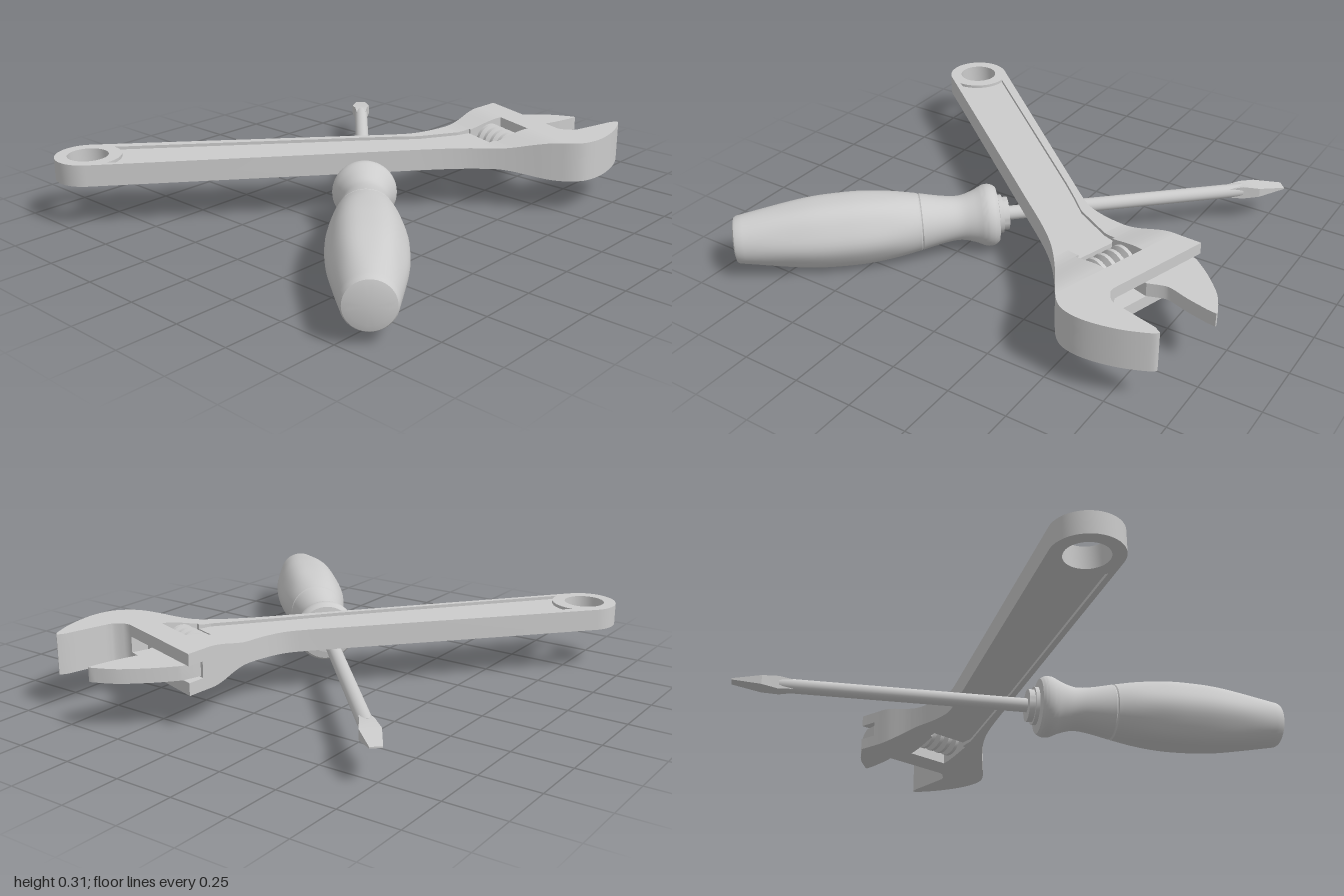
import * as THREE from 'three';
import { mergeGeometries, toCreasedNormals } from 'three/addons/utils/BufferGeometryUtils.js';

const material = new THREE.MeshStandardMaterial({ color: 0xcccccc });

// Wrench head frame: V points out of the mouth, W runs along the jaw slide
const V = ([x, z]) => 0.3 * x - 0.954 * z;
const W = ([x, z]) => 0.954 * x + 0.3 * z;
const fromWV = (w, v) => [0.954 * w + 0.3 * v, 0.3 * w - 0.954 * v];

const curve = (pts, n) =>
  new THREE.SplineCurve(pts.map(p => new THREE.Vector2(...p))).getPoints(n).map(p => [p.x, p.y]);

const arc = (cx, cz, r, a0, a1, n) => Array.from({ length: n + 1 }, (_, i) => {
  const a = THREE.MathUtils.degToRad(a0 + (a1 - a0) * i / n);
  return [cx + r * Math.cos(a), cz + r * Math.sin(a)];
});

// Keep the part of a plan polygon where f >= 0
function clip(poly, f) {
  const out = [];
  poly.forEach((a, i) => {
    const b = poly[(i + 1) % poly.length], fa = f(a), fb = f(b);
    if (fa >= 0) out.push(a);
    if (fa * fb < 0) {
      const t = fa / (fa - fb);
      out.push([a[0] + (b[0] - a[0]) * t, a[1] + (b[1] - a[1]) * t]);
    }
  });
  return out;
}
const between = (poly, f, lo, hi) => clip(clip(poly, p => f(p) - lo), p => hi - f(p));

// Plan polygon raised between two heights, each given as a function of [x, z]
function slab(poly, low, high, holes = []) {
  // Outline runs counter-clockwise, holes clockwise, so that all walls face outward
  const wind = (list, clockwise) => {
    const pts = list.map(([x, z]) => new THREE.Vector2(x, -z));
    return THREE.ShapeUtils.isClockWise(pts) === clockwise ? pts : pts.reverse();
  };
  const shape = new THREE.Shape(wind(poly, false));
  holes.forEach(h => shape.holes.push(new THREE.Path(wind(h, true))));
  const geo = new THREE.ExtrudeGeometry(shape, { depth: 1, bevelEnabled: false });
  geo.rotateX(-Math.PI / 2);
  const pos = geo.attributes.position;
  for (let i = 0; i < pos.count; i++) {
    const p = [pos.getX(i), pos.getZ(i)];
    pos.setY(i, pos.getY(i) > 0.5 ? high(p) : low(p));
  }
  return geo;
}
const flat = y => () => y;

function addMesh(group, name, geo) {
  const mesh = new THREE.Mesh(geo, material);
  mesh.name = name;
  group.add(mesh);
  return mesh;
}
const creased = geos => toCreasedNormals(mergeGeometries(geos), 0.5);

function createWrench() {
  const wrench = new THREE.Group();
  wrench.name = 'adjustableWrench';
  const ring = [-0.785, 0.858];

  const outline = [
    [-0.12, -0.095],
    ...curve([[-0.04, -0.185], [0.02, -0.265], [0.055, -0.37], [0.07, -0.5], [0.066, -0.62], [0.07, -0.69]], 20),
    [0.075, -0.785], [0.515, -0.647],
    ...curve([[0.535, -0.647], [0.58, -0.675], [0.597, -0.72], [0.637, -0.88]], 10),
    ...curve([[0.655, -0.908], [0.675, -0.885], [0.715, -0.78], [0.735, -0.66], [0.725, -0.57], [0.69, -0.515],
      [0.62, -0.465], [0.49, -0.385], [0.36, -0.29], [0.25, -0.18], [0.1, 0], [0.025, 0.09]], 44),
    ...arc(...ring, 0.136, 39, 221, 28),
  ];

  // Sunken panel on both faces, running from the hanging hole to the screw window
  const neckStart = 0.44, panelW = [0.03, 0.22];
  const panel = [
    fromWV(panelW[0], neckStart), [0.067, -0.25], [-0.015, -0.165], [-0.0975, -0.075],
    ...arc(...ring, 0.139, -92, 4, 10),
    [0.005, 0.074], [0.14, -0.1], fromWV(panelW[1], neckStart),
  ];
  const handle = clip(outline, p => neckStart - V(p));
  const cut = handle.findIndex(p => Math.abs(V(p) - neckStart) < 1e-6);
  handle.splice(cut + 1, 0, ...panel);
  addMesh(wrench, 'wrenchHandle', creased([
    slab(handle, flat(0.182), flat(0.273), [arc(...ring, 0.085, 0, 350, 35)]),
  ]));
  const panelLow = flat(0.195), panelHigh = flat(0.26);

  // Neck thickens from handle to head, around the window for the adjusting screw
  const ramp = p => THREE.MathUtils.smoothstep(V(p), neckStart, 0.66);
  const low = p => 0.182 - 0.038 * ramp(p), high = p => 0.273 + 0.038 * ramp(p);
  const neck = [], panels = [slab(panel, panelLow, panelHigh)];
  const steps = [neckStart, 0.47, 0.497, 0.525, 0.55, 0.58, 0.61, 0.635, 0.66];
  for (let i = 0; i + 1 < steps.length; i++) {
    const band = between(outline, V, steps[i], steps[i + 1]);
    const belowWindow = steps[i] < 0.497;
    const [left, right] = belowWindow ? panelW : [0.042, 0.235];
    neck.push(slab(clip(band, p => left - W(p)), low, high), slab(clip(band, p => W(p) - right), low, high));
    if (belowWindow) panels.push(slab(between(band, W, left, right), panelLow, panelHigh));
  }
  addMesh(wrench, 'wrenchNeck', creased(neck));
  addMesh(wrench, 'handlePanel', creased(panels));

  // Head with the fixed jaw; the middle layer leaves a slot for the sliding jaw
  const head = clip(outline, p => V(p) - 0.66);
  addMesh(wrench, 'fixedJaw', creased([
    slab(head, flat(0.144), flat(0.195)),
    slab(head, flat(0.262), flat(0.311)),
    slab(clip(head, p => 0.7 - V(p)), flat(0.195), flat(0.262)),
    slab(clip(head, p => W(p) - 0.29), flat(0.195), flat(0.262)),
  ]));

  // Sliding jaw
  addMesh(wrench, 'slidingJaw', creased([slab([
    fromWV(-0.13, 0.7),
    ...curve([[0.11, -0.785], [0.18, -0.865], [0.28, -0.952], [0.375, -0.998]], 12),
    [0.387, -0.998],
    ...curve([[0.382, -0.96], [0.36, -0.87], [0.335, -0.795], [0.335, -0.76], [0.355, -0.7]], 12),
    fromWV(0.13, 0.7),
  ], flat(0.199), flat(0.257))]));

  // Adjusting screw
  const teeth = 4, pitch = 0.18 / teeth, profile = [[0, -0.1], [0.025, -0.1], [0.025, -0.09]];
  for (let i = 0; i < teeth; i++) {
    const y = -0.09 + i * pitch;
    profile.push([0.046, y + 0.004], [0.07, y + 0.014], [0.07, y + 0.03], [0.046, y + 0.04]);
  }
  profile.push([0.025, 0.09], [0.025, 0.1], [0, 0.1]);
  const screwGeo = new THREE.LatheGeometry(profile.map(p => new THREE.Vector2(...p)), 24);
  screwGeo.rotateZ(-Math.PI / 2);
  const screw = addMesh(wrench, 'adjustingScrew', toCreasedNormals(screwGeo, 0.5));
  const [sx, sz] = fromWV(0.1385, 0.585);
  screw.position.set(sx, 0.228, sz);
  screw.rotation.y = -Math.atan2(0.3, 0.954);
  return wrench;
}

function createScrewdriver() {
  // Built along local y from the tip, with local x lying flat
  const driver = new THREE.Group();
  driver.name = 'screwdriver';

  // Blade: flattened wedge
  const blade = new THREE.BoxGeometry(2, 3, 2, 1, 3, 1);
  const sections = [[0, 0.024, 0.003], [0.12, 0.041, 0.02], [0.19, 0.028, 0.029], [0.25, 0.021, 0.021]];
  const bp = blade.attributes.position;
  for (let i = 0; i < bp.count; i++) {
    const [s, w, h] = sections[Math.round(bp.getY(i) + 1.5)];
    bp.setXYZ(i, bp.getX(i) * w, s, bp.getZ(i) * h);
  }
  addMesh(driver, 'blade', toCreasedNormals(blade, 0.3));

  // Shaft
  const shaft = new THREE.CylinderGeometry(0.03, 0.03, 1.06, 24);
  shaft.translate(0, 0.72, 0);
  addMesh(driver, 'shaft', shaft);

  // Grip: collar, flared guard, waist, seam, swelling body with soft flats
  const guard = curve([[1.278, 0.118], [1.298, 0.13], [1.33, 0.13], [1.375, 0.11], [1.435, 0.094], [1.505, 0.1], [1.597, 0.119]], 24);
  const body = curve([[1.607, 0.121], [1.7, 0.137], [1.82, 0.149], [1.92, 0.151], [2.05, 0.145], [2.2, 0.124], [2.348, 0.099]], 24);
  const grip = [[1.23, 0], [1.23, 0.07], [1.255, 0.07], [1.255, 0.082], [1.272, 0.082], ...guard,
    [1.602, 0.116], ...body, [2.358, 0.093], [2.364, 0.07], [2.367, 0]];
  const geo = new THREE.LatheGeometry(grip.map(([s, r]) => new THREE.Vector2(r, s)), 48);
  const gp = geo.attributes.position;
  for (let i = 0; i < gp.count; i++) {
    const x = gp.getX(i), s = gp.getY(i), z = gp.getZ(i);
    const swell = THREE.MathUtils.smoothstep(s, 1.6, 1.8) * (1 - THREE.MathUtils.smoothstep(s, 2.1, 2.34));
    const k = 1 + 0.02 * swell * Math.cos(6 * Math.atan2(z, x));
    gp.setX(i, x * k);
    gp.setZ(i, z * k);
  }
  addMesh(driver, 'grip', toCreasedNormals(geo, 0.5));

  const d = new THREE.Vector3(1.6, 0, 1.71).normalize();
  const side = new THREE.Vector3(d.z, 0, -d.x);
  driver.quaternion.setFromRotationMatrix(
    new THREE.Matrix4().makeBasis(side, d, new THREE.Vector3(0, -1, 0)));
  driver.position.set(-0.766, 0.148, -0.79);
  return driver;
}

export function createModel() {
  const model = new THREE.Group();
  model.name = 'wrenchAndScrewdriver';
  model.add(createWrench(), createScrewdriver());
  return model;
}
